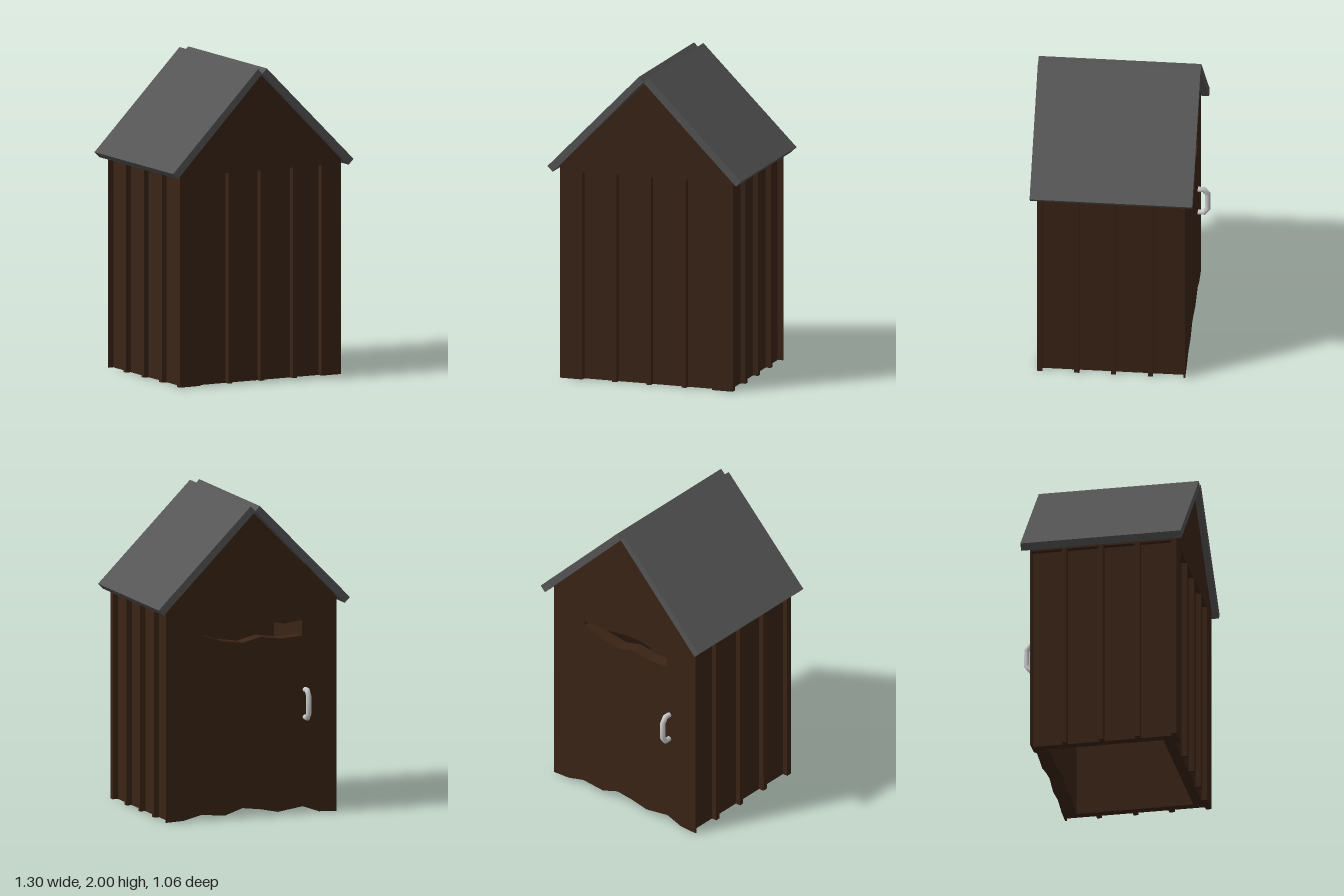
import * as THREE from 'three';

const wood = new THREE.MeshStandardMaterial({ color: 0x3a2416 });
const slate = new THREE.MeshStandardMaterial({ color: 0x555555 });
const metal = new THREE.MeshStandardMaterial({ color: 0xcccccc });

const HALF = 0.58, INNER = 0.545, EAVE = 1.38, APEX = 1.962, RECESS_TOP = 1.345;

const toVectors = (pts) => pts.map(([x, y]) => new THREE.Vector2(x, y));

// Flat outline extruded from z0 to z1
function slab(name, pts, z0, z1, material, hole) {
  const shape = new THREE.Shape(toVectors(pts));
  if (hole) shape.holes.push(new THREE.Path(toVectors(hole)));
  const geo = new THREE.ExtrudeGeometry(shape, { depth: z1 - z0, bevelEnabled: false });
  geo.translate(0, 0, z0);
  const mesh = new THREE.Mesh(geo, material);
  mesh.name = name;
  return mesh;
}

// Box given by its two extreme corners
function box(name, [x0, y0, z0], [x1, y1, z1], material) {
  const mesh = new THREE.Mesh(new THREE.BoxGeometry(x1 - x0, y1 - y0, z1 - z0), material);
  mesh.position.set((x0 + x1) / 2, (y0 + y1) / 2, (z0 + z1) / 2);
  mesh.name = name;
  return mesh;
}

// House outline: a bottom edge running left to right, then the gable
const gable = (w, bottom) => {
  const eave = APEX - w;
  return [[-w, 0], ...bottom, [w, 0], [w, eave], [0, APEX], [-w, eave]];
};

// Round bar bent in the y-z plane with mitred corners; path points are [z, y]
function bentBar(path, r, sides = 10) {
  const P = toVectors(path), pos = [], idx = [];
  P.forEach((p, i) => {
    const a = p.clone().sub(P[Math.max(i - 1, 0)]).normalize();
    const b = P[Math.min(i + 1, P.length - 1)].clone().sub(p).normalize();
    const dir = a.clone().add(b).normalize();
    const stretch = 1 / Math.max(dir.dot(i ? a : b), 0.5);
    for (let k = 0; k < sides; k++) {
      const t = (k / sides) * Math.PI * 2, s = Math.sin(t) * r * stretch;
      pos.push(Math.cos(t) * r, p.y + dir.x * s, p.x - dir.y * s);
      if (i) {
        const c = i * sides + k, d = i * sides + (k + 1) % sides;
        idx.push(c - sides, d - sides, c, d - sides, d, c);
      }
    }
  });
  const geo = new THREE.BufferGeometry();
  geo.setAttribute('position', new THREE.Float32BufferAttribute(pos, 3));
  geo.setIndex(idx);
  geo.computeVertexNormals();
  return geo;
}

export function createModel() {
  const shed = new THREE.Group();
  shed.name = 'shed';

  // Front wall: plain backing with a notched outer layer forming the battens
  const notches = [[-0.43, -0.23], [-0.2, 0], [0.03, 0.235], [0.265, 0.44]]
    .flatMap(([a, b]) => [[a, 0], [a, RECESS_TOP], [b, RECESS_TOP], [b, 0]]);
  shed.add(slab('frontWall', gable(INNER, []), 0.39, 0.455, wood));
  shed.add(slab('frontBattens', gable(HALF, notches), 0.455, 0.49, wood));

  // Back wall: ragged bottom edge and a ragged slot right through
  const ragged = [[-0.46, 0.005], [-0.35, 0.045], [-0.18, 0.02], [-0.06, 0.045],
    [0.06, 0.06], [0.18, 0.02], [0.34, 0.035], [0.46, 0.005]];
  const slot = [[-0.345, 1.14], [-0.2, 1.13], [-0.06, 1.15], [0.06, 1.12], [0.2, 1.14], [0.33, 1.185],
    [0.33, 1.21], [0.14, 1.22], [0, 1.24], [-0.12, 1.245], [-0.22, 1.225], [-0.345, 1.24]];
  shed.add(slab('backFace', gable(HALF, ragged), -0.45, -0.44, wood, slot));
  shed.add(slab('backWall', gable(INNER, ragged), -0.44, -0.36, wood, slot));

  // Side walls with battens and a top rail
  for (const side of [-1, 1]) {
    const [i0, i1] = side > 0 ? [0.49, INNER] : [-INNER, -0.49];
    const [o0, o1] = side > 0 ? [INNER, HALF] : [-HALF, -INNER];
    const wall = new THREE.Group();
    wall.name = side > 0 ? 'leftWall' : 'rightWall';
    wall.add(box('sidePanel', [i0, 0, -0.36], [i1, EAVE, 0.39], wood));
    wall.add(box('sideRail', [o0, RECESS_TOP, -0.44], [o1, EAVE, 0.455], wood));
    for (const [a, b] of [[-0.245, -0.215], [-0.01, 0.02], [0.22, 0.255]]) {
      wall.add(box('sideBatten', [o0, 0, a], [o1, RECESS_TOP, b], wood));
    }
    // Panel ends beside the front and back walls
    wall.add(box('panelEndBack', [i0, 0.01, -0.44], [i1, EAVE, -0.36], wood));
    shed.add(wall);
  }

  // Roof: two sloping boards that nearly meet at the ridge
  shed.add(slab('roofLeft', [[0.615, 1.34], [0.65, 1.375], [0.025, 2], [-0.008, 1.967]], -0.5, 0.53, slate));
  shed.add(slab('roofRight', [[-0.65, 1.375], [-0.615, 1.34], [-0.008, 1.967], [-0.037, 2]], -0.5, 0.53, slate));

  // Door handle
  const handle = new THREE.Mesh(bentBar([[-0.445, 0.793], [-0.488, 0.793], [-0.513, 0.76],
    [-0.513, 0.65], [-0.488, 0.617], [-0.445, 0.617]], 0.017), metal);
  handle.position.x = -0.365;
  handle.name = 'doorHandle';
  shed.add(handle);

  return shed;
}
